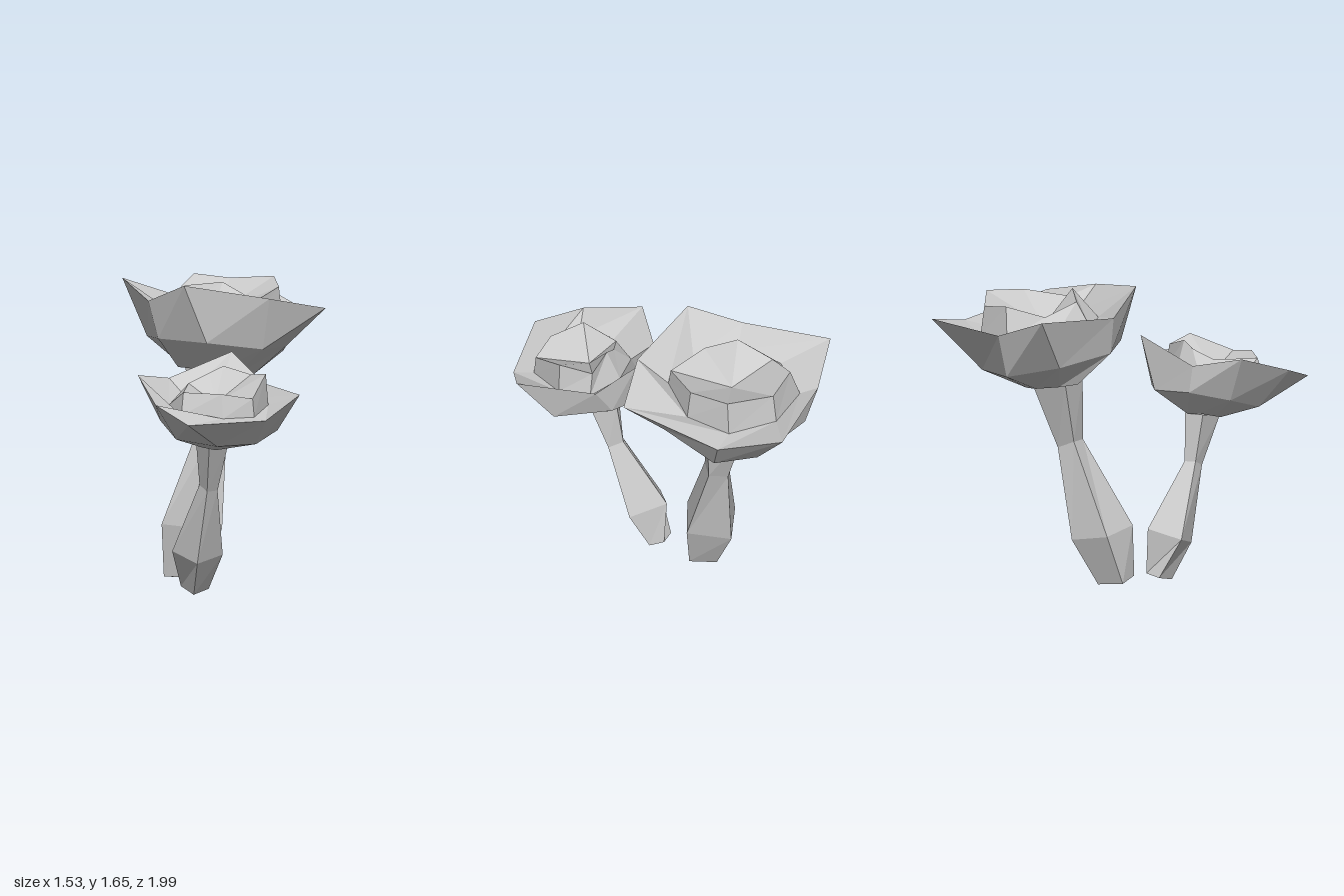
import * as THREE from 'three';

const material = new THREE.MeshStandardMaterial({ color: 0xcccccc, flatShading: true });

// Skins a stack of rings (counter-clockwise from above), closing each end to a point.
function loft(name, start, rings, end) {
  const pos = [];
  const tri = (...pts) => pts.forEach((p) => pos.push(...p));
  const n = rings[0].length;
  for (let i = 0; i < n; i++) {
    const j = (i + 1) % n;
    tri(start, rings[0][j], rings[0][i]);
    for (let k = 0; k + 1 < rings.length; k++) {
      const lo = rings[k], hi = rings[k + 1];
      tri(lo[i], lo[j], hi[j]);
      tri(lo[i], hi[j], hi[i]);
    }
    const top = rings[rings.length - 1];
    tri(top[i], top[j], end);
  }
  const geometry = new THREE.BufferGeometry();
  geometry.setAttribute('position', new THREE.Float32BufferAttribute(pos, 3));
  geometry.computeVertexNormals();
  const mesh = new THREE.Mesh(geometry, material);
  mesh.name = name;
  return mesh;
}

const middle = (ring) => [0, 1, 2].map((a) => ring.reduce((s, p) => s + p[a], 0) / ring.length);

function mushroom(name, stem, cap) {
  const group = new THREE.Group();
  group.name = name;
  group.add(loft('stem', middle(stem[0]), stem, middle(stem[stem.length - 1])));
  // the cap runs up the underside, over the rim, in to the crown and down to its centre
  const { underside, shoulder, rim, crownBase, crownCrest, centre } = cap;
  group.add(loft('cap', middle(underside), [underside, shoulder, rim, crownBase, crownCrest], centre));
  return group;
}

// Tall mushroom
const tallStem = [
  [[-0.28, 0.04, 0.04], [-0.13, 0.055, 0.09], [-0.07, 0.03, -0.05], [-0.21, 0.02, -0.1]],
  [[-0.34, 0.31, -0.04], [-0.11, 0.33, 0.08], [-0.02, 0.3, -0.14], [-0.24, 0.27, -0.24]],
  [[-0.225, 0.81, -0.23], [-0.105, 0.8, -0.19], [-0.085, 0.79, -0.3], [-0.19, 0.77, -0.32]],
  [[-0.33, 1.16, -0.27], [-0.13, 1.16, -0.19], [-0.05, 1.13, -0.37], [-0.22, 1.11, -0.45]],
];
const tallCap = {
  underside: [[-0.33, 1.15, -0.2], [-0.08, 1.15, -0.18], [0, 1.13, -0.28], [0.02, 1.11, -0.42],
    [-0.06, 1.1, -0.48], [-0.2, 1.1, -0.49], [-0.32, 1.12, -0.43], [-0.36, 1.14, -0.3]],
  shoulder: [[-0.35, 1.33, -0.02], [-0.03, 1.335, 0.01], [0.2, 1.29, -0.2], [0.22, 1.28, -0.42],
    [0.04, 1.2, -0.7], [-0.2, 1.195, -0.73], [-0.54, 1.23, -0.57], [-0.57, 1.29, -0.28]],
  rim: [[-0.4, 1.535, 0], [-0.12, 1.655, 0.1], [0.27, 1.58, -0.15], [0.46, 1.505, -0.43],
    [0.08, 1.41, -0.85], [-0.24, 1.48, -1], [-0.6, 1.47, -0.61], [-0.77, 1.58, -0.36]],
  crownBase: [[-0.32, 1.46, -0.13], [-0.07, 1.47, -0.11], [0.13, 1.45, -0.25], [0.13, 1.42, -0.53],
    [-0.03, 1.41, -0.74], [-0.31, 1.41, -0.73], [-0.51, 1.43, -0.57], [-0.5, 1.45, -0.31]],
  crownCrest: [[-0.29, 1.6, -0.21], [-0.08, 1.63, -0.25], [0.12, 1.54, -0.26], [0.11, 1.58, -0.53],
    [-0.03, 1.6, -0.72], [-0.3, 1.57, -0.71], [-0.45, 1.6, -0.58], [-0.43, 1.54, -0.37]],
  centre: [-0.18, 1.44, -0.4],
};

// Short mushroom
const shortStem = [
  [[-0.07, 0.03, 0.22], [0.045, 0, 0.28], [0.075, 0.02, 0.17], [0, 0.04, 0.145]],
  [[-0.055, 0.24, 0.34], [0.125, 0.19, 0.38], [0.18, 0.22, 0.2], [-0.02, 0.29, 0.155]],
  [[0.15, 0.63, 0.4], [0.215, 0.6, 0.43], [0.24, 0.6, 0.36], [0.16, 0.63, 0.34]],
  [[0.15, 0.89, 0.44], [0.28, 0.86, 0.52], [0.33, 0.87, 0.4], [0.2, 0.89, 0.34]],
];
const shortCap = {
  underside: [[0.14, 0.9, 0.42], [0.17, 0.88, 0.5], [0.24, 0.86, 0.53], [0.32, 0.85, 0.52],
    [0.37, 0.87, 0.44], [0.36, 0.89, 0.36], [0.28, 0.9, 0.3], [0.16, 0.89, 0.36]],
  shoulder: [[-0.03, 1.05, 0.38], [0.02, 1, 0.6], [0.2, 0.93, 0.74], [0.45, 0.91, 0.73],
    [0.59, 0.91, 0.55], [0.58, 0.95, 0.3], [0.3, 1.02, 0.15], [0.12, 1.03, 0.18]],
  rim: [[-0.04, 1.2, 0.4], [-0.08, 1.25, 0.67], [0.17, 1.14, 0.91], [0.42, 1.06, 0.99],
    [0.69, 1.055, 0.62], [0.765, 1.17, 0.38], [0.4, 1.17, 0.14], [0.18, 1.32, 0.1]],
  crownBase: [[0.08, 1.11, 0.43], [0.1, 1.1, 0.64], [0.25, 1.07, 0.77], [0.47, 1.06, 0.7],
    [0.59, 1.06, 0.57], [0.54, 1.09, 0.33], [0.4, 1.1, 0.22], [0.2, 1.11, 0.29]],
  crownCrest: [[0.2, 1.245, 0.38], [0.14, 1.2, 0.5], [0.24, 1.19, 0.73], [0.45, 1.19, 0.68],
    [0.58, 1.16, 0.57], [0.53, 1.26, 0.34], [0.38, 1.23, 0.24], [0.26, 1.28, 0.33]],
  centre: [0.3, 1.1, 0.49],
};

export function createModel() {
  const model = new THREE.Group();
  model.name = 'mushrooms';
  model.add(mushroom('tallMushroom', tallStem, tallCap));
  model.add(mushroom('shortMushroom', shortStem, shortCap));
  return model;
}
